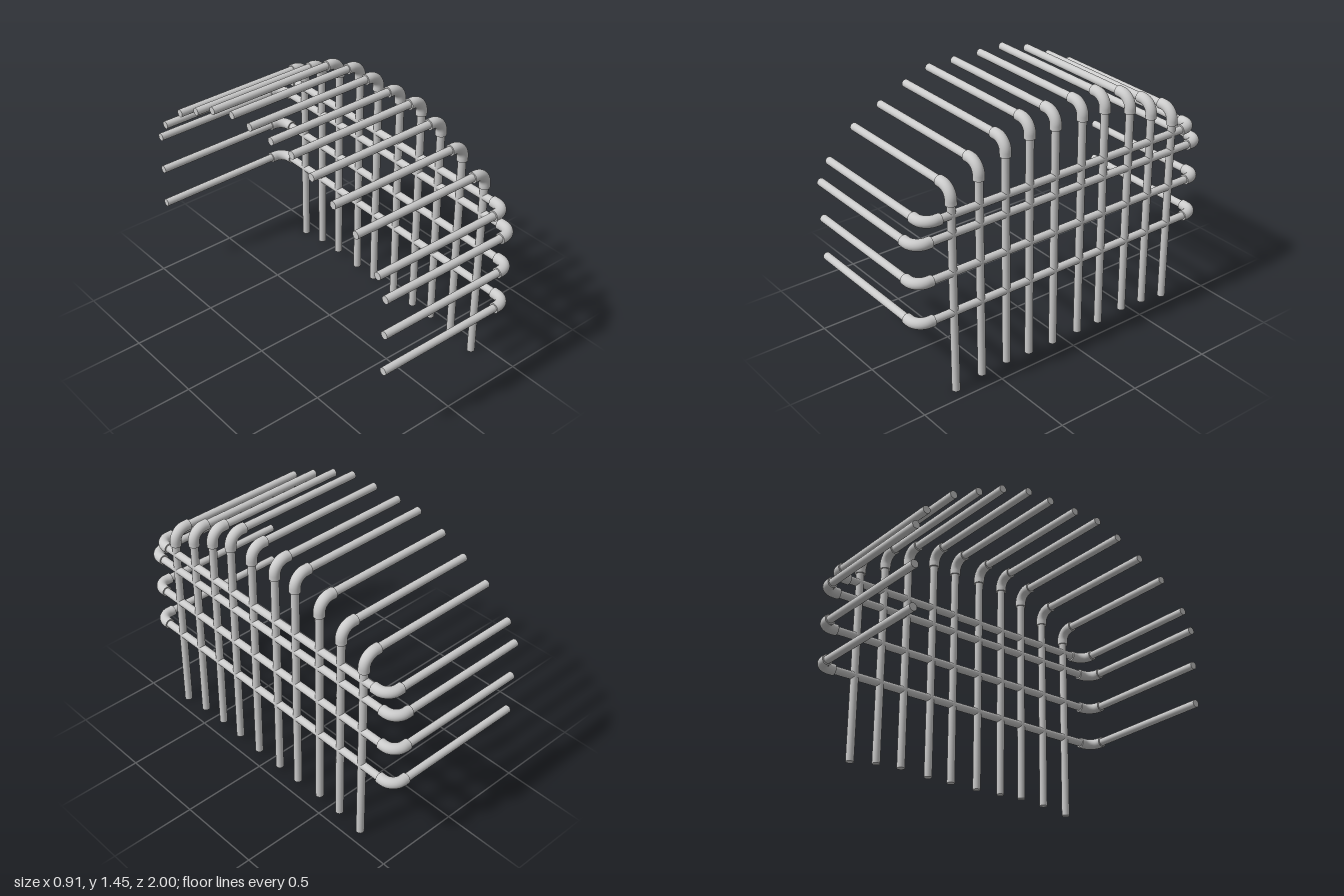
import * as THREE from 'three';

const PIPE = 0.0225, FITTING = 0.031;   // radii
const BEND = 0.07, COLLAR = 0.025;      // elbow bend radius and straight ends
const REACH = BEND + COLLAR;
const BACK = 0.423, TIP = -0.457;       // x of the upright grid and of the arm tips
const material = new THREE.MeshStandardMaterial({ color: 0xcccccc });

// Straight round bar between two points
function rod(name, a, b, radius = PIPE) {
  const from = new THREE.Vector3(...a), to = new THREE.Vector3(...b);
  const dir = to.clone().sub(from);
  const mesh = new THREE.Mesh(new THREE.CylinderGeometry(radius, radius, dir.length(), 24), material);
  mesh.name = name;
  mesh.position.copy(from).add(to).multiplyScalar(0.5);
  mesh.quaternion.setFromUnitVectors(new THREE.Vector3(0, 1, 0), dir.normalize());
  return mesh;
}

// Elbow with its corner at the origin, one leg toward -x and one toward -y
function elbow() {
  const group = new THREE.Group();
  group.name = 'elbow';
  const bend = new THREE.Mesh(new THREE.TorusGeometry(BEND, FITTING, 24, 16, Math.PI / 2), material);
  bend.name = 'elbowBend';
  bend.position.set(-BEND, -BEND, 0);
  group.add(
    bend,
    rod('elbowCollar', [-REACH, 0, 0], [-BEND, 0, 0], FITTING),
    rod('elbowCollar', [0, -REACH, 0], [0, -BEND, 0], FITTING)
  );
  return group;
}

// Elbow and the arm running from it toward -x
function armWithElbow(y, z, turn) {
  const group = new THREE.Group();
  group.name = 'armWithElbow';
  const corner = elbow();
  corner.position.set(BACK, y, z);
  corner.rotation.x = turn;
  group.add(corner, rod('arm', [TIP, y, z], [BACK - BEND, y, z]));
  return group;
}

export function createModel() {
  const model = new THREE.Group();
  model.name = 'pipeFrame';

  // Uprights bent over at the top: z, foot height, arm height
  const uprights = [
    [0.746, 0, 1.204], [0.576, 0.026, 1.287], [0.41, 0.035, 1.364], [0.256, 0.028, 1.417], [0.088, 0.022, 1.417],
    [-0.091, 0.022, 1.417], [-0.245, 0.022, 1.417], [-0.424, 0.035, 1.364], [-0.582, 0.026, 1.287], [-0.744, 0, 1.204]
  ];
  for (const [z, foot, top] of uprights) {
    model.add(rod('upright', [BACK, foot, z], [BACK, top - BEND, z]), armWithElbow(top, z, 0));
  }

  // Cross bars bent forward at both ends: height, half width
  for (const [y, half] of [[0.489, 0.969], [0.724, 0.969], [0.945, 0.969], [1.053, 0.909]]) {
    model.add(rod('crossBar', [BACK, y, BEND - half], [BACK, y, half - BEND]));
    for (const side of [1, -1]) model.add(armWithElbow(y, side * half, side * Math.PI / 2));
  }
  return model;
}
